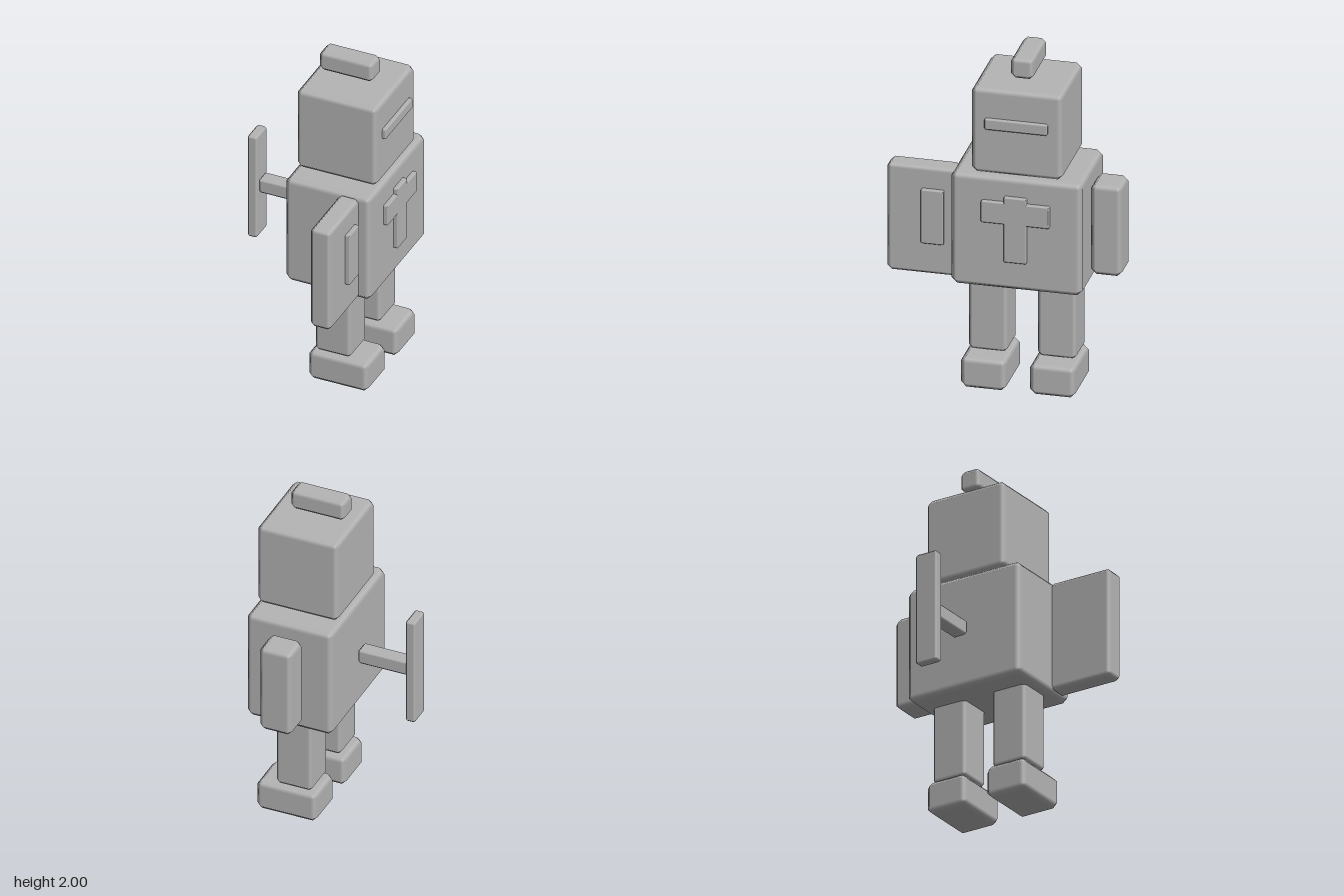
import * as THREE from 'three';

// Box with softly shaded chamfered edges: b is the chamfer width.
function chamferBox(w, h, d, b) {
  const geo = new THREE.BoxGeometry(1, 1, 1, 3, 3, 3);
  const pos = geo.attributes.position;
  const nor = geo.attributes.normal;
  const half = [w / 2, h / 2, d / 2];
  for (let i = 0; i < pos.count; i++) {
    const p = [pos.getX(i), pos.getY(i), pos.getZ(i)];
    const outer = p.map((c) => Math.abs(c) > 0.4);
    const k = outer.filter(Boolean).length; // 1 face, 2 edge, 3 corner
    const q = p.map((c, a) => Math.sign(c) * (half[a] - (outer[a] ? (b * (k - 1)) / k : b)));
    const n = p.map((c, a) => (outer[a] ? Math.sign(c) / Math.sqrt(k) : 0));
    pos.setXYZ(i, ...q);
    nor.setXYZ(i, ...n);
  }
  return geo;
}

export function createModel() {
  const model = new THREE.Group();
  model.name = 'toyRobot';
  const grey = new THREE.MeshStandardMaterial({ color: 0xb4b4b4 });
  grey.name = 'grey';

  // Adds a block from its extents along each axis
  function block(name, [x0, x1], [y0, y1], [z0, z1], bevel) {
    const mesh = new THREE.Mesh(chamferBox(x1 - x0, y1 - y0, z1 - z0, bevel), grey);
    mesh.name = name;
    mesh.position.set((x0 + x1) / 2, (y0 + y1) / 2, (z0 + z1) / 2);
    model.add(mesh);
  }

  // Head, crest and visor slot
  block('head', [-0.073, 0.418], [1.333, 1.853], [-0.355, 0.166], 0.03);
  block('crest', [-0.025, 0.302], [1.875, 2.0], [-0.16, -0.03], 0.025);
  block('visor', [0.4, 0.44], [1.612, 1.678], [-0.275, 0.085], 0.008);

  // Torso with the cross on its chest
  block('torso', [-0.09, 0.433], [0.645, 1.33], [-0.47, 0.28], 0.033);
  block('chestCrossUpright', [0.41, 0.46], [0.825, 1.22], [-0.16, -0.03], 0.006);
  block('chestCrossBar', [0.41, 0.459], [1.055, 1.185], [-0.29, 0.1], 0.006);

  // Broad shield arm with its panel, and the plain arm
  block('shieldArm', [0.24, 0.366], [0.66, 1.314], [0.26, 0.66], 0.024);
  block('shieldPanel', [0.34, 0.393], [0.857, 1.184], [0.33, 0.46], 0.006);
  block('plainArm', [0.075, 0.272], [0.713, 1.265], [-0.657, -0.478], 0.03);

  // Legs and feet
  for (const [side, z] of [['One', 0.104], ['Two', -0.29]]) {
    block('leg' + side, [0.065, 0.282], [0.19, 0.69], [z - 0.11, z + 0.11], 0.022);
    block('foot' + side, [0.03, 0.394], [0, 0.188], [z - 0.13, z + 0.13], 0.03);
  }

  // Wind-up key on the back
  block('keyStem', [-0.404, -0.102], [0.943, 1.035], [-0.146, -0.053], 0.014);
  block('keyHandle', [-0.46, -0.4], [0.655, 1.323], [-0.168, -0.028], 0.012);

  return model;
}
